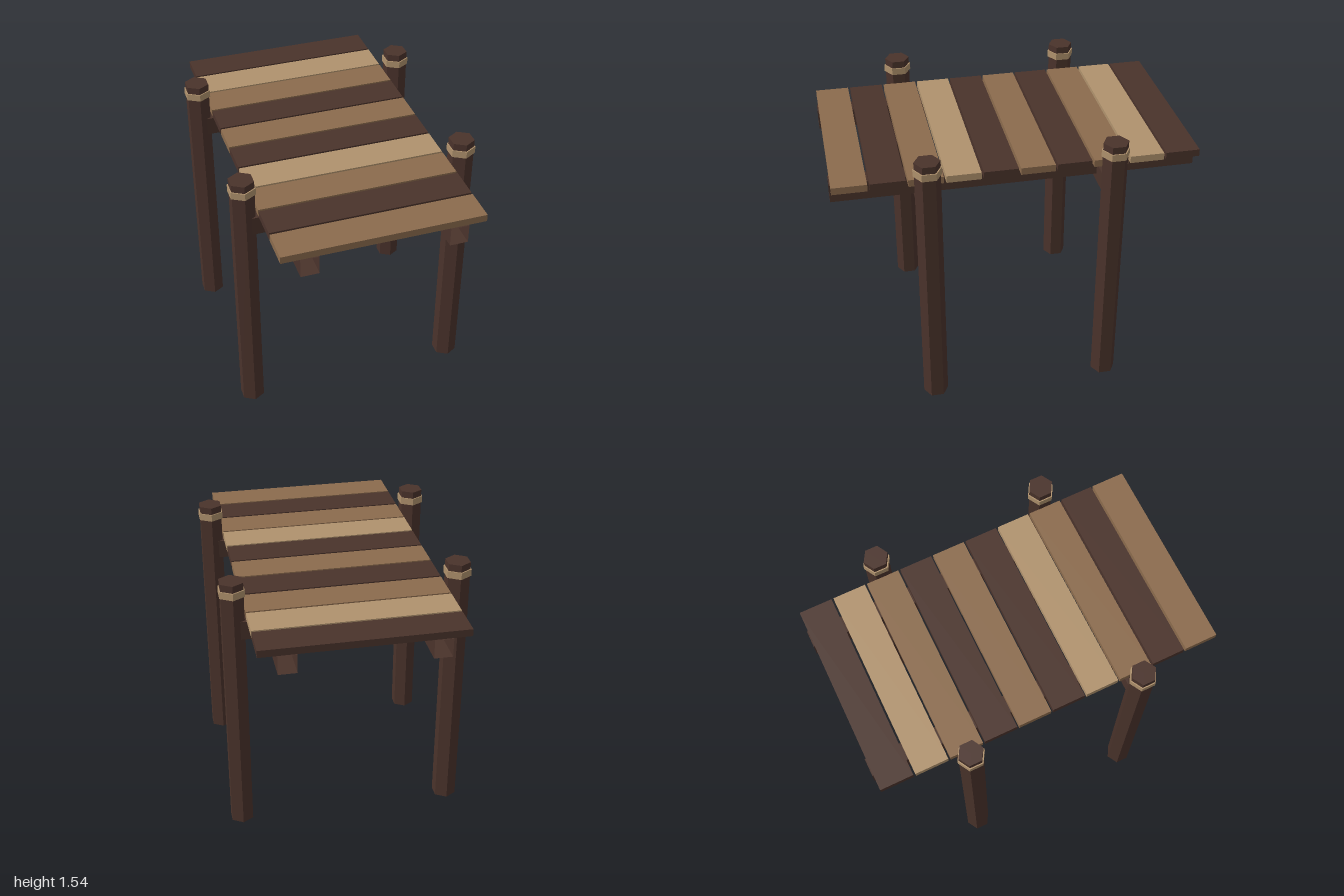
import * as THREE from 'three';

export function createModel() {
  const group = new THREE.Group();
  group.name = 'woodenDock';

  const darkWood = new THREE.MeshStandardMaterial({ color: 0x4a332b, flatShading: true, side: THREE.DoubleSide });
  darkWood.name = 'dark wood';
  const midWood = new THREE.MeshStandardMaterial({ color: 0x8b6b4d, flatShading: true });
  midWood.name = 'medium wood';
  const lightWood = new THREE.MeshStandardMaterial({ color: 0xb0926d, flatShading: true });
  lightWood.name = 'light wood';

  const add = (name, geometry, material, x, y, z) => {
    const mesh = new THREE.Mesh(geometry, material);
    mesh.name = name;
    mesh.position.set(x, y, z);
    group.add(mesh);
    return mesh;
  };

  // Hexagonal posts, each with a band near the top
  const postGeometry = new THREE.CylinderGeometry(0.07, 0.07, 1.54, 6);
  const bandGeometry = new THREE.CylinderGeometry(0.077, 0.077, 0.04, 6);
  for (const x of [-0.61, 0.61]) {
    for (const z of [-0.5, 0.5]) {
      add('post', postGeometry, darkWood, x, 0.77, z);
      add('postBand', bandGeometry, lightWood, x, 1.48, z);
    }
  }

  // Cross beams between each pair of posts
  const beamGeometry = new THREE.BoxGeometry(1.22, 0.106, 0.1);
  for (const z of [-0.5, 0.5]) add('crossBeam', beamGeometry, darkWood, 0, 1.265, z);

  // Long hollow stringers with open ends: keep only the four long sides
  const stringerGeometry = new THREE.BoxGeometry(0.1, 0.105, 2);
  stringerGeometry.setIndex(Array.from(stringerGeometry.index.array).slice(0, 24));
  stringerGeometry.clearGroups();
  for (const x of [-0.4, 0.4]) add('stringer', stringerGeometry, darkWood, x, 1.3075, 0);

  // Deck planks from back to front
  const plankGeometry = new THREE.BoxGeometry(1.1, 0.04, 0.188);
  const d = darkWood, m = midWood, l = lightWood;
  [d, l, m, d, m, d, l, m, d, m].forEach((material, i) => {
    add('plank', plankGeometry, material, 0, 1.381, -0.9 + i * 0.2);
  });

  return group;
}
